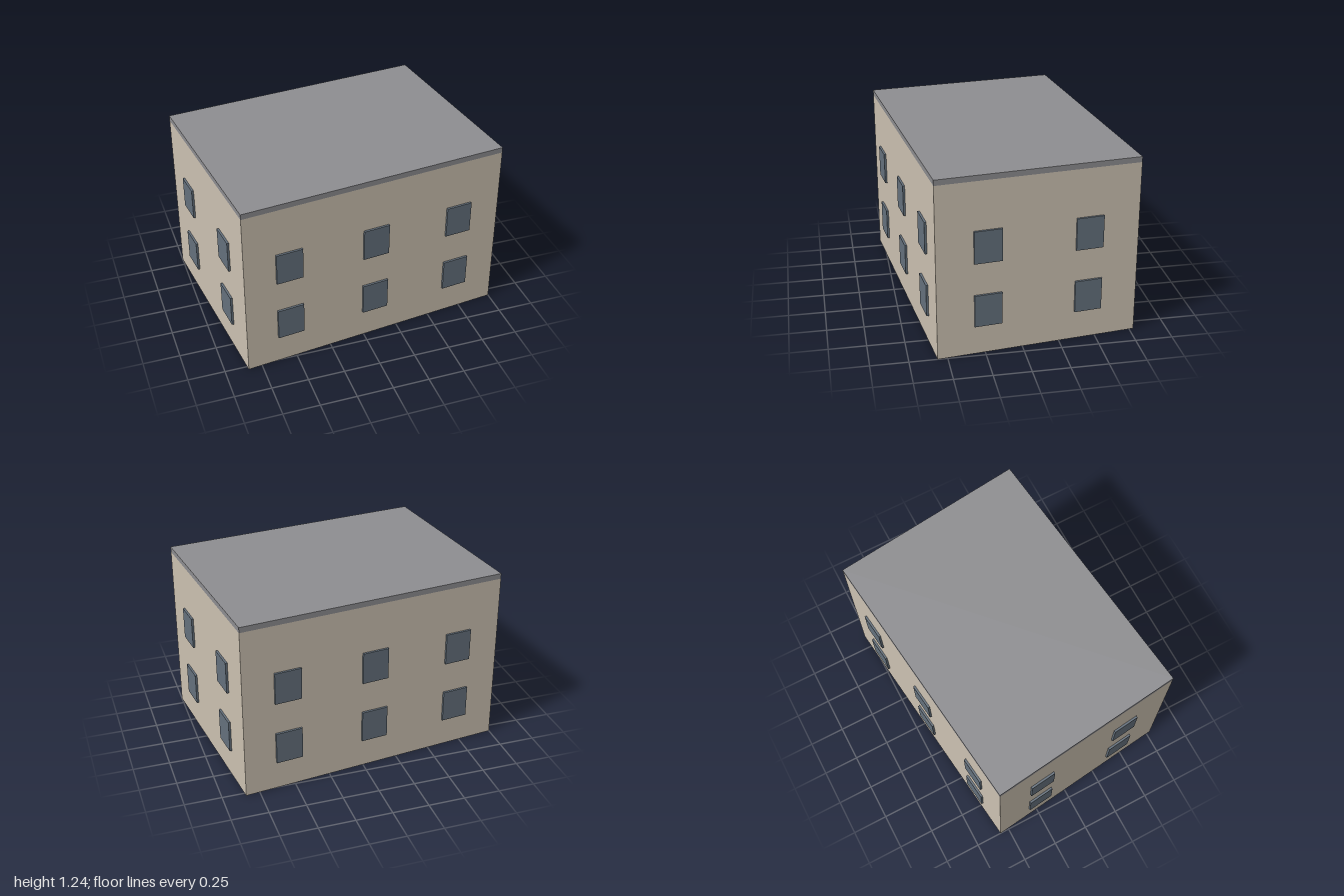
import * as THREE from 'three';

const W = 1.857, D = 1.354, WALL_H = 1.2, ROOF_H = 0.0375;

function material(name, color) {
  const m = new THREE.MeshStandardMaterial({ color });
  m.name = name;
  return m;
}

function box(name, size, position, mat) {
  const mesh = new THREE.Mesh(new THREE.BoxGeometry(...size), mat);
  mesh.name = name;
  mesh.position.set(...position);
  return mesh;
}

export function createModel() {
  const wall = material('beige wall', 0xcdc2b2);
  const roof = material('grey roof', 0x8e8e91);
  const glass = material('blue grey window', 0x65717d);

  const building = new THREE.Group();
  building.name = 'building';
  building.rotation.y = THREE.MathUtils.degToRad(6.6);

  // Main block and flush flat roof
  building.add(box('walls', [W, WALL_H, D], [0, WALL_H / 2, 0], wall));
  building.add(box('roof', [W, ROOF_H, D], [0, WALL_H + ROOF_H / 2, 0], roof));

  // Two storeys of windows: three on each long side, two on each short side
  const size = 0.184, height = 0.222, thick = 0.029;
  for (const y of [0.3125, 0.7585]) {
    for (const side of [1, -1]) {
      for (const i of [-1, 0, 1]) {
        building.add(box('longSideWindow', [size, height, thick], [i * W / 3, y, side * D / 2], glass));
      }
      for (const i of [-0.5, 0.5]) {
        building.add(box('shortSideWindow', [thick, height, size], [side * W / 2, y, i * D / 2], glass));
      }
    }
  }

  const model = new THREE.Group();
  model.name = 'model';
  model.add(building);
  return model;
}
